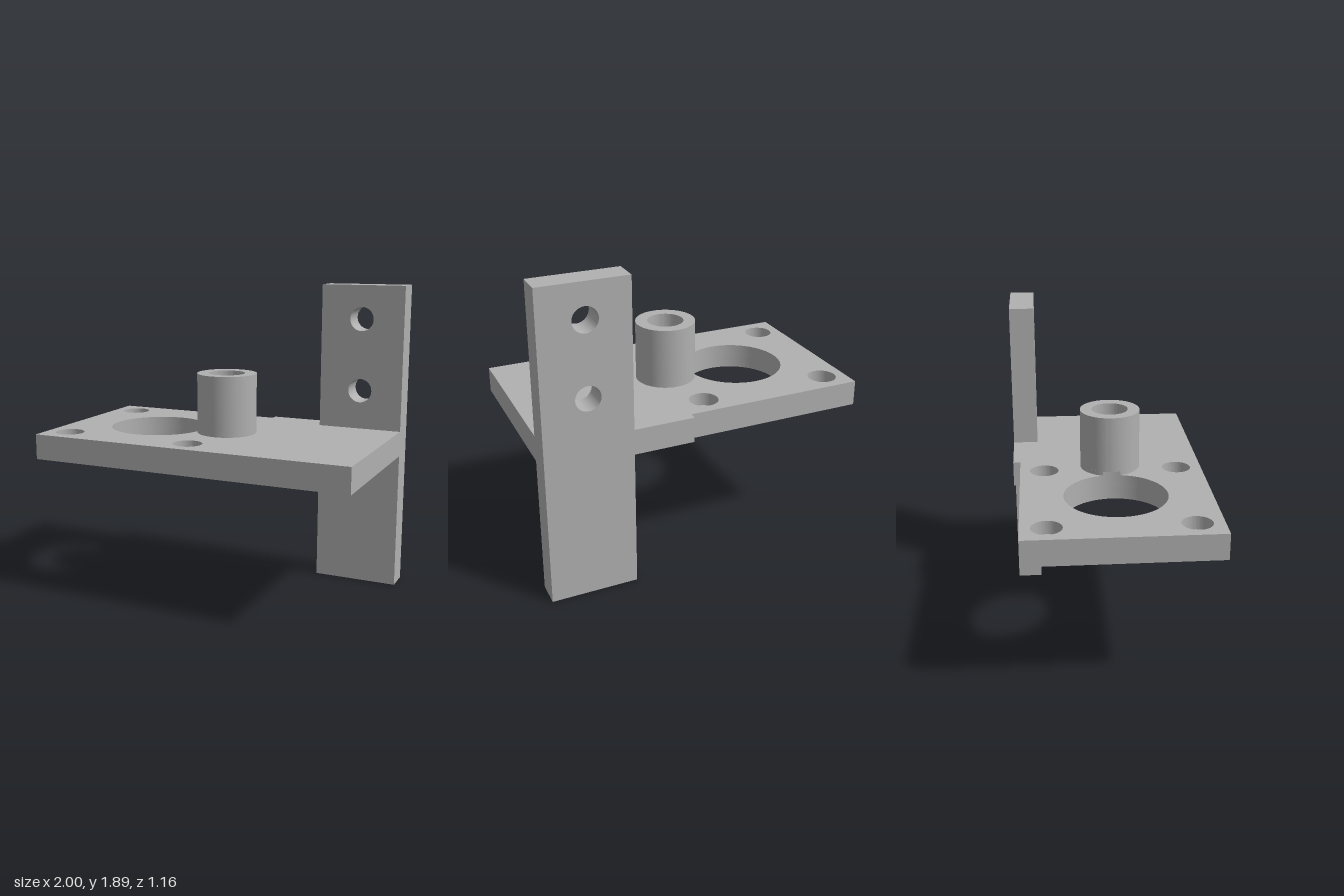
import * as THREE from 'three';
import { toCreasedNormals } from 'three/addons/utils/BufferGeometryUtils.js';

const steel = new THREE.MeshStandardMaterial({ color: 0xb0b0b0 });
steel.name = 'grey metal';

const BIG = { x: -0.445, y: -0.02, r: 0.303 };  // large opening (y is -z)
const BOSS = { x: 0.027, y: -0.02, r: 0.182, bore: 0.11 };

function addHole(shape, x, y, r) {
  const hole = new THREE.Path();
  hole.absarc(x, y, r, 0, Math.PI * 2, true);
  shape.holes.push(hole);
}

function extrude(shape, depth) {
  const geo = new THREE.ExtrudeGeometry(shape, { depth, bevelEnabled: false, curveSegments: 40 });
  return toCreasedNormals(geo, 0.5);
}

// Horizontal slab between two heights, drawn from a plan shape
function slab(name, shape, y0, y1) {
  const mesh = new THREE.Mesh(extrude(shape, y1 - y0).rotateX(-Math.PI / 2), steel);
  mesh.position.y = y0;
  mesh.name = name;
  return mesh;
}

// Plate outline, notched around the upright bar, with its openings
function plateShape(screwRadius) {
  const shape = new THREE.Shape([
    [-1, -0.58], [1, -0.58], [1, 0.425], [0.477, 0.425],
    [0.477, 0.58], [0.11, 0.58], [0.11, 0.535], [-1, 0.535],
  ].map(([x, y]) => new THREE.Vector2(x, y)));
  addHole(shape, BIG.x, BIG.y, BIG.r);
  for (const x of [-0.853, -0.04])
    for (const y of [0.387, -0.427]) addHole(shape, x, y, screwRadius);
  return shape;
}

// Ring plan of the boss
function ringShape() {
  const shape = new THREE.Shape();
  shape.absarc(BOSS.x, BOSS.y, BOSS.r, 0, Math.PI * 2, false);
  addHole(shape, BOSS.x, BOSS.y, BOSS.bore);
  return shape;
}

// Foot of the boss, clipped by the large opening
function footShape() {
  const d = BOSS.x - BIG.x;
  const a = (d * d + BOSS.r ** 2 - BIG.r ** 2) / (2 * d);
  const t = Math.PI - Math.acos(a / BOSS.r);
  const u = Math.acos((d - a) / BIG.r);
  const shape = new THREE.Shape();
  shape.absarc(BOSS.x, BOSS.y, BOSS.r, -t, t, false);
  shape.absarc(BIG.x, BIG.y, BIG.r, u, -u, true);
  addHole(shape, BOSS.x, BOSS.y, BOSS.bore);
  return shape;
}

export function createModel() {
  const model = new THREE.Group();
  model.name = 'mountingBracket';

  // Plate in two layers: screw clearance below, counterbores above
  const plate = new THREE.Group();
  plate.name = 'plate';
  plate.add(
    slab('plateLower', plateShape(0.047), 0.845, 0.92),
    slab('plateCounterbored', plateShape(0.087), 0.92, 1),
  );

  // Hollow boss beside the opening
  const boss = new THREE.Group();
  boss.name = 'boss';
  boss.add(
    slab('bossFoot', footShape(), 1, 1.025),
    slab('bossTube', ringShape(), 1.025, 1.367),
  );

  // Upright bar with two bolt holes
  const barShape = new THREE.Shape([
    [0.477, 0], [1, 0], [1, 1.892], [0.477, 1.892],
  ].map(([x, y]) => new THREE.Vector2(x, y)));
  for (const y of [1.24, 1.685]) addHole(barShape, 0.735, y, 0.074);
  const bar = new THREE.Mesh(extrude(barShape, 0.155), steel);
  bar.position.z = -0.58;
  bar.name = 'uprightBar';

  model.add(plate, boss, bar);
  return model;
}
